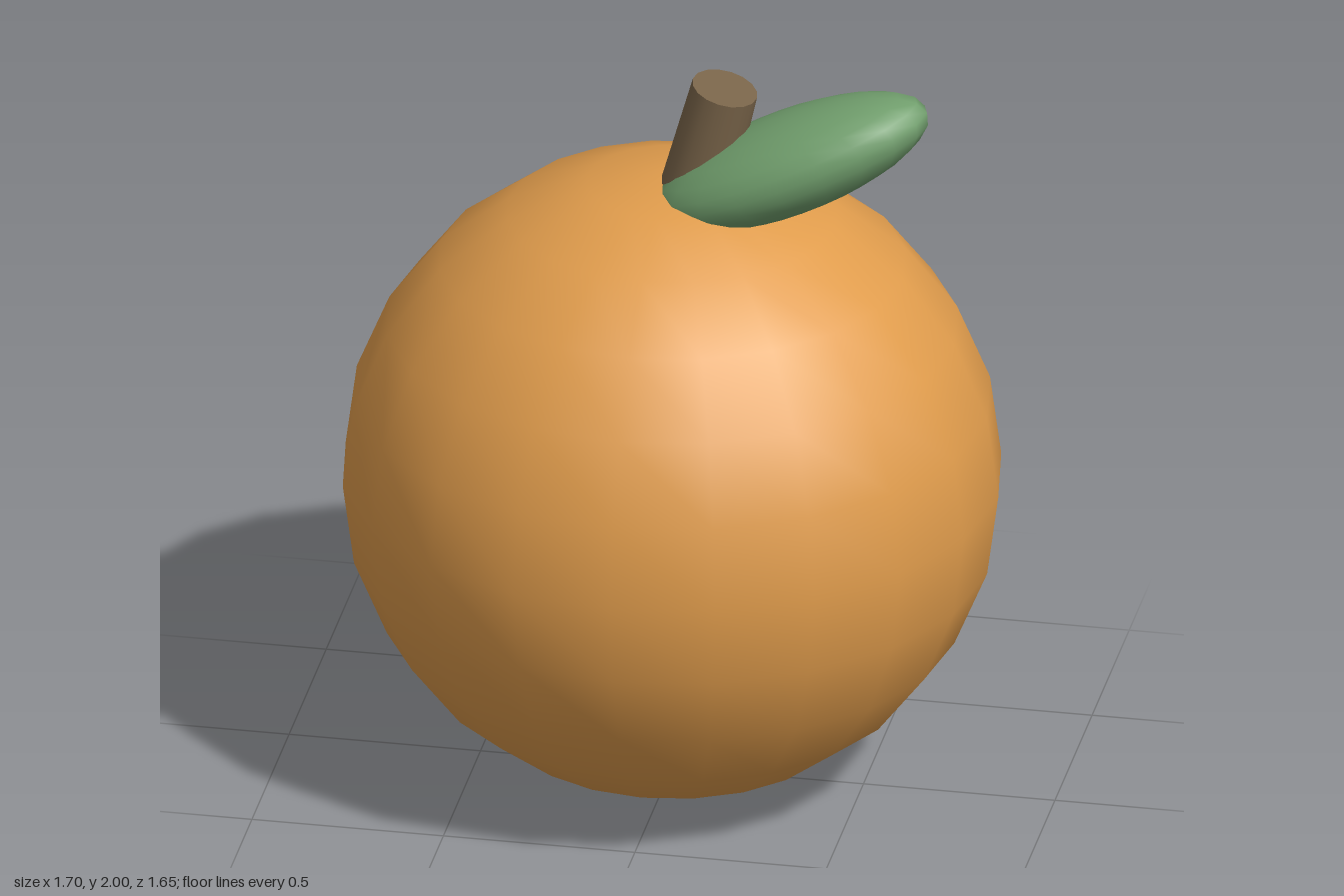
import * as THREE from 'three';

const peel = new THREE.MeshStandardMaterial({ color: 0xe09c4c });
peel.name = 'orange peel';
const green = new THREE.MeshStandardMaterial({ color: 0x72a06e });
green.name = 'leaf green';
const bark = new THREE.MeshStandardMaterial({ color: 0x7a654a });
bark.name = 'stem brown';

function addPart(group, name, geometry, material, position) {
  const mesh = new THREE.Mesh(geometry, material);
  mesh.name = name;
  mesh.position.set(...position);
  group.add(mesh);
  return mesh;
}

export function createModel() {
  const group = new THREE.Group();
  group.name = 'orange';

  // Fruit: coarse smooth sphere, slightly flattened front to back
  const fruit = addPart(group, 'fruit', new THREE.SphereGeometry(0.852, 20, 12), peel, [0, 0.855, 0]);
  fruit.scale.z = 0.969;

  // Stem: leaning, slightly flared, sunk into the fruit
  const length = 0.4;
  const stemGeometry = new THREE.CylinderGeometry(0.086, 0.097, length, 16);
  stemGeometry.translate(0, -length / 2, 0); // origin at the cut end
  const stem = addPart(group, 'stem', stemGeometry, bark, [0.145, 1.977, 0.036]);
  stem.rotation.set(0.06, 0, -0.25);

  // Leaf: plump ellipsoid rising to the model's left
  const leaf = addPart(group, 'leaf', new THREE.SphereGeometry(1, 20, 12), green, [0.32, 1.79, 0.05]);
  leaf.scale.set(0.396, 0.126, 0.186);
  leaf.rotation.z = 0.454;

  return group;
}
